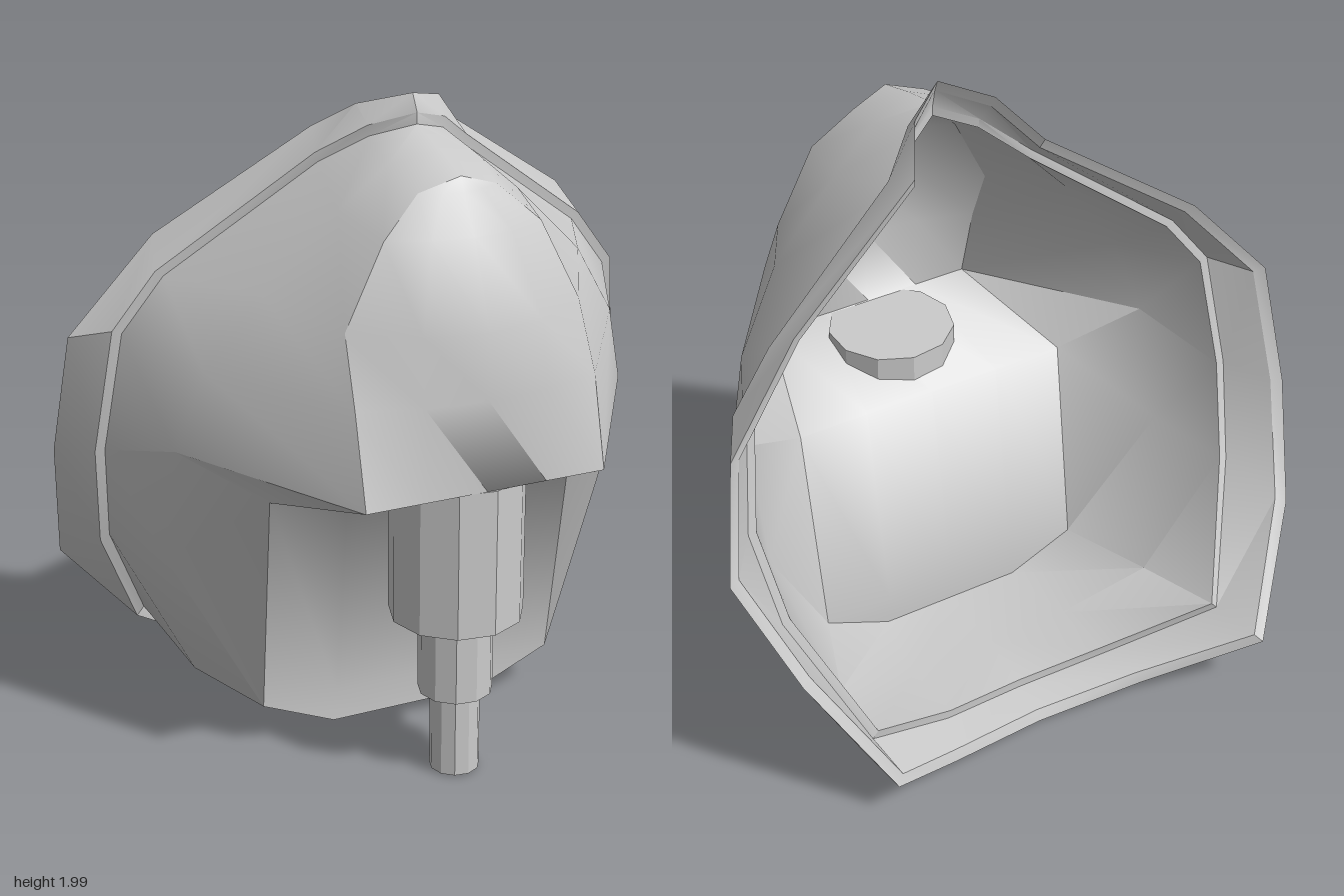
import * as THREE from 'three';
import { toCreasedNormals } from 'three/addons/utils/BufferGeometryUtils.js';

// Half sections on the +x side, ordered from top centre round to bottom centre.
const rimBack = [[0, 2, 0.17], [0.13, 1.96, 0.07], [0.21, 1.87, -0.07], [0.66, 1.57, -0.19], [0.89, 1.26, -0.23],
  [0.955, 0.9, -0.31], [0.8, 0.53, -0.42], [0.58, 0.15, -0.58], [0.34, 0.06, -0.5], [0, 0.01, -0.44]];
const rimFront = [[0, 1.95, 0.2], [0.12, 1.91, 0.13], [0.24, 1.82, 0.03], [0.69, 1.49, -0.09], [0.82, 1.32, -0.11],
  [0.87, 0.93, -0.17], [0.81, 0.6, -0.24], [0.61, 0.17, -0.42], [0.3, 0.05, -0.36], [0, 0.01, -0.32]];
const middle = [[0, 1.88, 0.35], [0.14, 1.84, 0.3], [0.28, 1.72, 0.28], [0.5, 1.5, 0.25], [0.65, 1.27, 0.19],
  [0.725, 1.02, 0.13], [0.73, 0.64, 0.02], [0.59, 0.16, -0.15], [0.29, 0.05, -0.1], [0, 0.05, -0.1]];
const front = [[0, 1.84, 0.48], [0.12, 1.8, 0.46], [0.24, 1.69, 0.5], [0.36, 1.45, 0.51], [0.37, 1.25, 0.6],
  [0.37, 0.98, 0.67], [0.49, 0.87, 0.26], [0.48, 0.15, 0.15], [0.25, 0.05, 0.15], [0, 0.05, 0.15]];
const bulge = [0, 0.04, 0.07, 0.16, 0.07, 0, 0, 0, 0, 0];

// Copy a half section with some of its points moved.
const vary = (pts, moved) => pts.map((p, i) => moved[i] ?? p);

// Shrink a section about mid height and shift it in depth.
const inset = (pts, s, dz = 0) => pts.map(([x, y, z]) => [x * s, 1 + (y - 1) * s, z + dz]);

// Mirror a half section into a closed ring; the other side may differ.
function ring(half, other = half) {
  return [...half, ...other.slice(1, -1).reverse().map(([x, y, z]) => [-x, y, z])];
}

function buildGeometry(quads, crease) {
  const pos = [];
  const tri = (...p) => {
    const [a, b, c] = p.map((v) => new THREE.Vector3(...v));
    if (b.clone().sub(a).cross(c.clone().sub(a)).length() > 1e-7) pos.push(...p.flat());
  };
  for (const [a, b, c, d] of quads) {
    tri(a, b, c);
    tri(a, c, d);
  }
  const g = new THREE.BufferGeometry();
  g.setAttribute('position', new THREE.Float32BufferAttribute(pos, 3));
  return toCreasedNormals(g, crease);
}

// Skin neighbouring rings; diagonals mirror left to right and inside to outside.
function loft(rings, inside) {
  const quads = [];
  for (let i = 0; i < rings.length - 1; i++) {
    const r = rings[i], s = rings[i + 1], n = r.length;
    for (let j = 0; j < n; j++) {
      const k = (j + 1) % n;
      const flip = (j >= n / 2) !== inside;
      quads.push(flip ? [s[j], s[k], r[k], r[j]] : [r[j], s[j], s[k], r[k]]);
    }
  }
  return quads;
}

// Skin across the front from left to right: snout, its underside and the lower panel.
function span(half, inside) {
  const steps = [-1, -0.5, 0, 0.5, 1];
  const rows = half.map(([x, y, z], k) => steps.map((t) => [x * t, y, z + bulge[k] * (1 - t * t)]));
  const quads = [];
  for (let k = 0; k < rows.length - 1; k++) {
    for (let i = 0; i < steps.length - 1; i++) {
      const q = [rows[k][i], rows[k + 1][i], rows[k + 1][i + 1], rows[k][i + 1]];
      quads.push(inside ? q.reverse() : q);
    }
  }
  return quads;
}

export function createModel() {
  const group = new THREE.Group();
  const material = new THREE.MeshStandardMaterial({ color: 0xcccccc });
  const flatMaterial = new THREE.MeshStandardMaterial({ color: 0xcccccc, flatShading: true });
  const add = (name, geometry, mat = material) => {
    const mesh = new THREE.Mesh(geometry, mat);
    mesh.name = name;
    group.add(mesh);
    return mesh;
  };

  // The rim corner flares wider on the -x side
  const rimBackOther = vary(rimBack, { 4: [0.92, 1.28, -0.22], 6: [0.92, 0.51, -0.43], 7: [0.68, 0.21, -0.67] });
  const rimFrontOther = vary(rimFront, { 6: [0.84, 0.6, -0.26], 7: [0.66, 0.2, -0.49] });
  const backRing = (s, dz) => ring(inset(rimBack, s, dz), inset(rimBackOther, s, dz));
  const frontRing = (s) => ring(inset(rimFront, s), inset(rimFrontOther, s));

  const innerFront = inset(front, 0.94, -0.04);
  const innerMiddle = inset(middle, 0.95, -0.03);

  // Hollow body: outer and inner walls
  add('outerSides', buildGeometry(loft([frontRing(0.965), ring(middle), ring(front)], false), 0.8));
  add('innerSides', buildGeometry(loft([ring(innerFront), ring(innerMiddle), frontRing(0.92)], true), 0.8));
  add('snoutAndFrontPanel', buildGeometry(span(front, false), 1.35));
  add('innerFrontWall', buildGeometry(span(innerFront, true), 1.35));

  // Flared rim with a thin lip and a small step on each side
  add('outerRim', buildGeometry(loft([backRing(1, 0), frontRing(1), frontRing(0.965)], false), 0.5));
  add('innerRim', buildGeometry(loft([frontRing(0.92), frontRing(0.95), backRing(0.963, 0.015)], true), 0.5));
  add('rimLip', buildGeometry(loft([backRing(0.963, 0.015), backRing(1, 0)], false), 0.5));

  // Stepped nozzle hanging below the snout
  const nozzle = [
    ['nozzleTop', 0.2, 0.53, 0.98],
    ['nozzleMiddle', 0.112, 0.275, 0.53],
    ['nozzleTip', 0.075, 0.015, 0.275],
  ];
  for (const [name, radius, low, high] of nozzle) {
    const geometry = new THREE.CylinderGeometry(radius, radius, high - low, 11, 1, false, -Math.PI / 2);
    add(name, geometry, flatMaterial).position.set(0, (low + high) / 2, 0.48);
  }
  return group;
}
